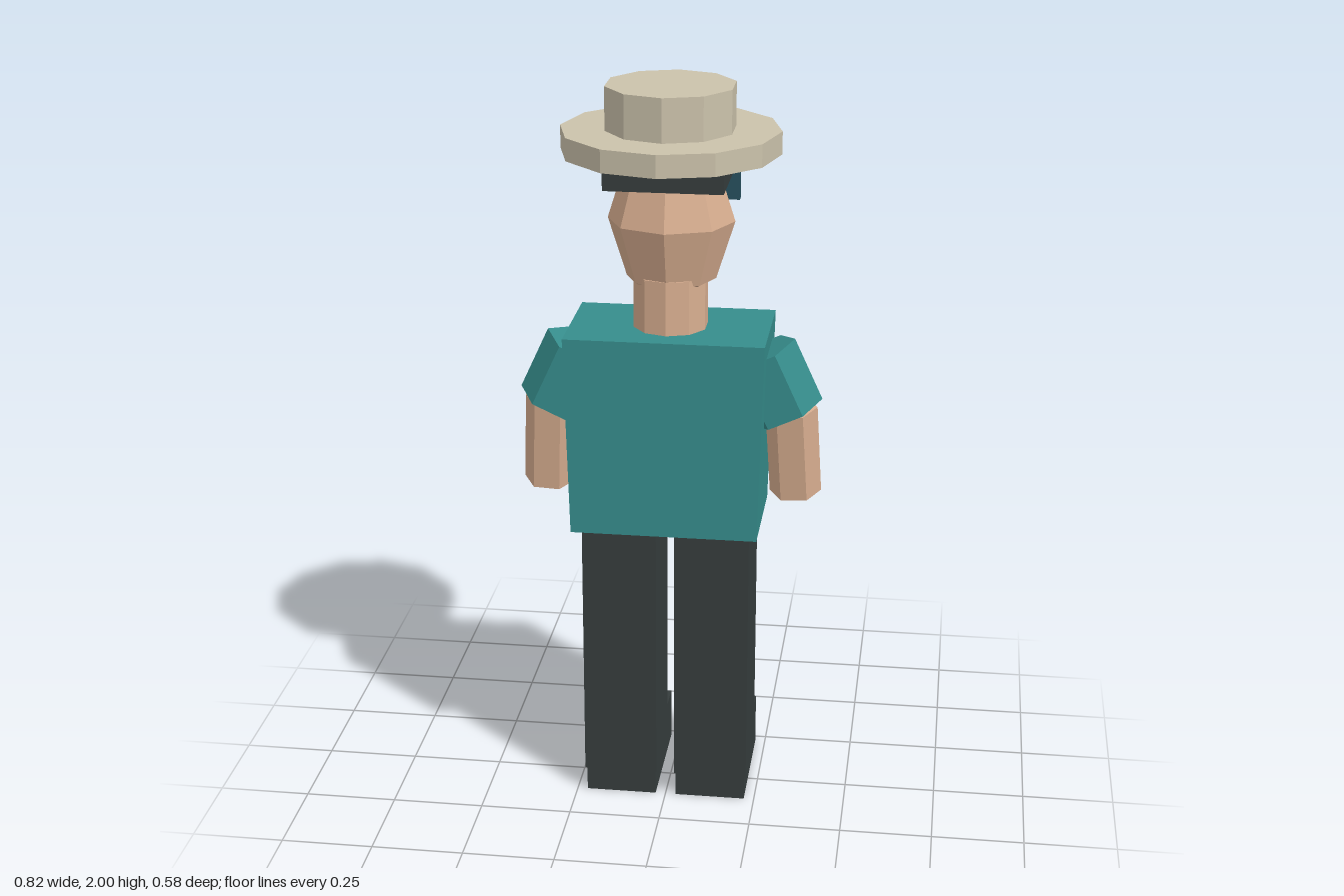
import * as THREE from 'three';

export function createModel() {
  const model = new THREE.Group();
  model.name = 'figure';

  const paint = (name, color) => {
    const m = new THREE.MeshStandardMaterial({ color, flatShading: true });
    m.name = name;
    return m;
  };
  const shirt = paint('teal shirt', 0x368d8c);
  const skin = paint('skin', 0xd8ae90);
  const dark = paint('charcoal', 0x363d3d);
  const straw = paint('straw hat', 0xcbc2ab);
  const glass = paint('dark blue glasses', 0x27505e);

  const add = (name, geometry, material, x = 0, y = 0, z = 0) => {
    const mesh = new THREE.Mesh(geometry, material);
    mesh.name = name;
    mesh.position.set(x, y, z);
    model.add(mesh);
    return mesh;
  };

  // Box given by its limits on each axis
  const box = (name, material, [x0, x1], [y0, y1], [z0, z1]) =>
    add(name, new THREE.BoxGeometry(x1 - x0, y1 - y0, z1 - z0), material,
      (x0 + x1) / 2, (y0 + y1) / 2, (z0 + z1) / 2);

  // Six-sided limb running between two points, with edges on its outer and inner sides
  const limb = (name, material, radius, top, bottom) => {
    const a = new THREE.Vector3(...top), b = new THREE.Vector3(...bottom);
    const geometry = new THREE.CylinderGeometry(radius, radius, a.distanceTo(b), 6);
    geometry.rotateY(Math.PI / 6);
    const mesh = add(name, geometry, material);
    mesh.position.copy(a).add(b).multiplyScalar(0.5);
    mesh.quaternion.setFromUnitVectors(new THREE.Vector3(0, 1, 0), a.sub(b).normalize());
  };

  // Torso, slightly narrower at the waist
  const torso = new THREE.BoxGeometry(0.53, 0.545, 0.32);
  const p = torso.attributes.position;
  for (let i = 0; i < p.count; i++) {
    if (p.getY(i) < 0) p.setX(i, p.getX(i) * 0.945);
  }
  add('torso', torso, shirt, 0, 1.0825, 0);

  // Legs, feet and arms, mirrored; the face and toes point to -z
  for (const [side, s] of [['left', 1], ['right', -1]]) {
    const span = (a, b) => (s > 0 ? [a, b] : [-b, -a]);
    box(side + 'Leg', dark, span(0.025, 0.227), [0.07, 0.81], [-0.12, 0.12]);
    box(side + 'Foot', dark, span(0.028, 0.222), [0, 0.147], [-0.225, 0.115]);
    limb(side + 'Sleeve', shirt, 0.1, [s * 0.24, 1.288, 0], [s * 0.316, 1.123, 0]);
    limb(side + 'Forearm', skin, 0.07, [s * 0.325, 1.138, 0.003], [s * 0.338, 0.888, -0.029]);
  }

  // Neck and faceted head
  add('neck', new THREE.CylinderGeometry(0.1, 0.1, 0.145, 10), skin, 0, 1.4275, 0);
  const head = new THREE.SphereGeometry(1, 8, 4);
  head.scale(0.168, 0.22, 0.15);
  add('head', head, skin, 0, 1.64, -0.013);

  // Nose, glasses and hair
  box('nose', skin, [-0.03, 0.03], [1.605, 1.68], [-0.205, -0.14]);
  box('glasses', glass, [-0.165, 0.165], [1.66, 1.735], [-0.178, -0.152]);
  box('hair', dark, [-0.155, 0.155], [1.755, 1.83], [-0.11, 0.158]);

  // Hat
  add('hatBrim', new THREE.CylinderGeometry(0.288, 0.288, 0.06, 12), straw, 0, 1.855, 0);
  add('hatCrown', new THREE.CylinderGeometry(0.172, 0.172, 0.12, 10), straw, 0, 1.94, 0);

  return model;
}
